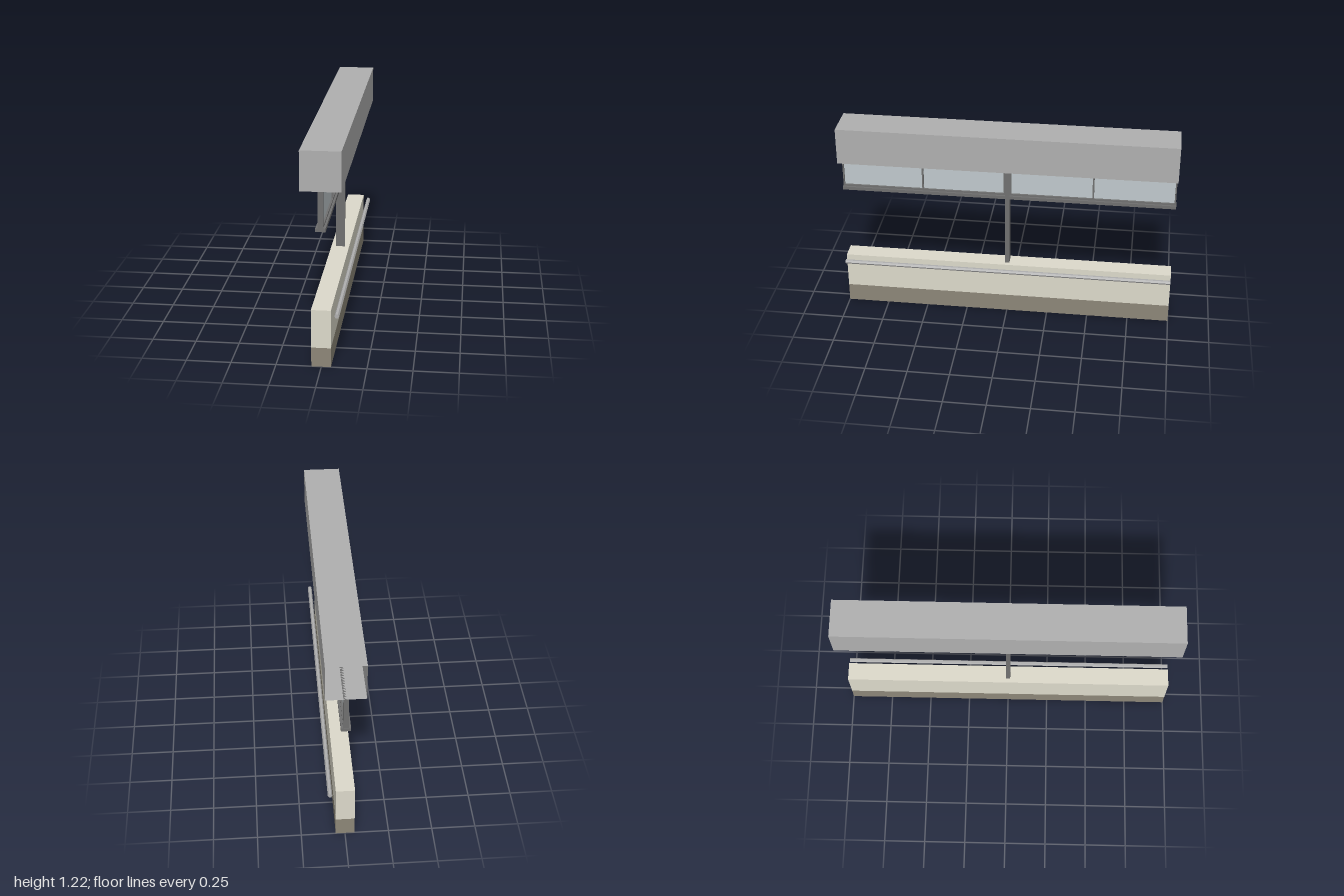
import * as THREE from 'three';

const mat = (color) => new THREE.MeshStandardMaterial({ color });

export function createModel() {
  const model = new THREE.Group();
  const cream = mat(0xdddacb), brown = mat(0x8d8778), grey = mat(0xb0b0b0);
  const dark = mat(0x707070), glass = mat(0xc1c9cd);
  const cx = -0.001; // shared centre line of wall, post and windows

  // Box given by its width, bottom/top heights and z range
  function block(name, width, y0, y1, z0, z1, material, parent = model) {
    const mesh = new THREE.Mesh(new THREE.BoxGeometry(width, y1 - y0, z1 - z0), material);
    mesh.position.set(cx, (y0 + y1) / 2, (z0 + z1) / 2);
    mesh.name = name;
    parent.add(mesh);
    return mesh;
  }

  // Low wall with a darker base band
  block('wallBase', 0.108, 0, 0.112, -1, 1, brown);
  block('wallUpper', 0.108, 0.112, 0.333, -1, 1, cream);

  // Six-sided handrail along the left side of the wall
  const rail = new THREE.CylinderGeometry(0.013, 0.013, 2, 6).toNonIndexed();
  rail.computeVertexNormals();
  rail.rotateY(Math.PI / 6);
  rail.rotateX(Math.PI / 2);
  // point two of the six corners sideways
  rail.computeBoundingBox();
  if (rail.boundingBox.max.x < 0.0125) rail.rotateZ(Math.PI / 6);
  const handrail = new THREE.Mesh(rail, grey);
  handrail.position.set(0.085, 0.302, 0);
  handrail.name = 'handrail';
  model.add(handrail);

  // Central post between wall and header
  block('post', 0.055, 0.333, 1.002, -0.013, 0.013, dark);

  // A window run on each side of the post
  for (const s of [-1, 1]) {
    const run = new THREE.Group();
    run.name = s > 0 ? 'frontWindows' : 'backWindows';
    model.add(run);
    const part = (name, w, y0, y1, a, b, m) =>
      block(name, w, y0, y1, Math.min(s * a, s * b), Math.max(s * a, s * b), m, run);
    part('sill', 0.055, 0.78, 0.8, 0.013, 1, dark);
    part('bottomRail', 0.03, 0.8, 0.81, 0.013, 0.997, dark);
    part('topRail', 0.03, 0.992, 1.002, 0.013, 0.997, dark);
    part('innerStile', 0.03, 0.81, 0.992, 0.013, 0.023, dark);
    part('mullion', 0.03, 0.81, 0.992, 0.505, 0.515, dark);
    part('outerStile', 0.03, 0.81, 0.992, 0.989, 0.997, dark);
    part('innerPane', 0.008, 0.81, 0.992, 0.023, 0.505, glass);
    part('outerPane', 0.008, 0.81, 0.992, 0.515, 0.989, glass);
  }

  // Hollow header, open at the back end
  const shell = new THREE.BoxGeometry(0.222, 0.222, 2);
  shell.setIndex(Array.from(shell.index.array).slice(0, 30));
  const shellMat = mat(0xb0b0b0);
  shellMat.side = THREE.DoubleSide;
  const header = new THREE.Mesh(shell, shellMat);
  header.position.y = 1.113;
  header.name = 'header';
  model.add(header);

  return model;
}
